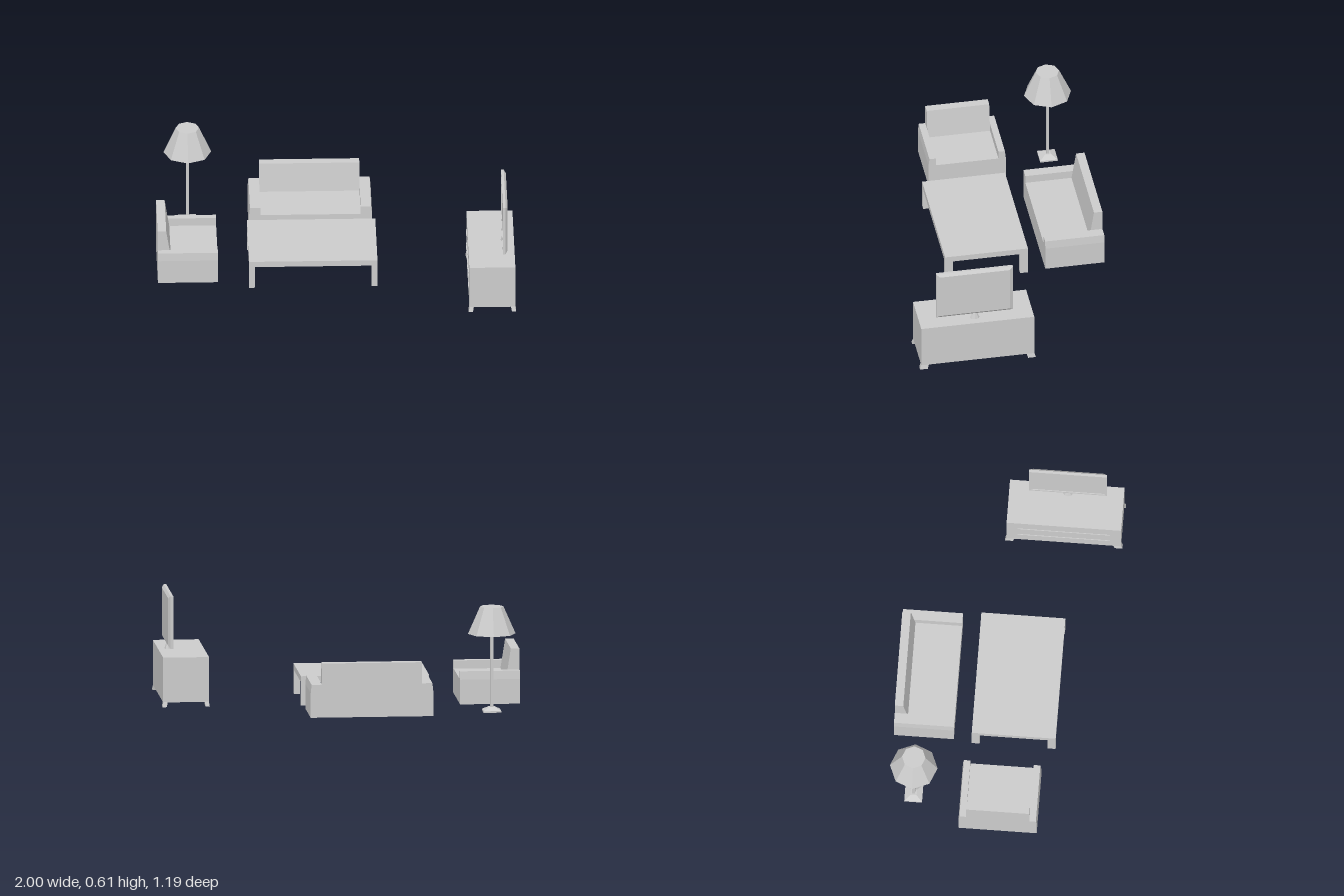
import * as THREE from 'three';

const material = new THREE.MeshStandardMaterial({ color: 0xcccccc, flatShading: true });

// Box between two corners; an optional rule moves each vertex
function block(parent, name, [x0, y0, z0], [x1, y1, z1], rule) {
  const geo = new THREE.BoxGeometry(x1 - x0, y1 - y0, z1 - z0);
  geo.translate((x0 + x1) / 2, (y0 + y1) / 2, (z0 + z1) / 2);
  if (rule) {
    const p = geo.attributes.position;
    const v = new THREE.Vector3();
    for (let i = 0; i < p.count; i++) {
      v.fromBufferAttribute(p, i);
      rule(v);
      p.setXYZ(i, v.x, v.y, v.z);
    }
    geo.computeVertexNormals();
  }
  const mesh = new THREE.Mesh(geo, material);
  mesh.name = name;
  parent.add(mesh);
  return mesh;
}

function group(parent, name) {
  const g = new THREE.Group();
  g.name = name;
  parent.add(g);
  return g;
}

// Seat facing +z, centred on its own x and z
function createSeat(parent, name, width, depth, armWidth) {
  const g = group(parent, name);
  const w = width / 2, d = depth / 2, inner = w - armWidth;
  const bottom = 0.013, seatTop = 0.153, armTop = 0.2;
  block(g, 'seatBase', [-w, bottom, -d], [w, seatTop, d]);
  for (const s of [-1, 1]) {
    // Armrest, its outer side leaning slightly inward
    block(g, 'armrest', [s > 0 ? inner : -w, seatTop, -d], [s > 0 ? w : -inner, armTop, d], v => {
      if (v.y > 0.18 && Math.abs(v.x) > w - 0.001) v.x -= s * 0.005;
    });
  }
  // Backrest with a sloping front
  block(g, 'backrest', [-inner, seatTop, -d], [inner, 0.32, -d + 0.074], v => {
    if (v.y > 0.3 && v.z > -d + 0.01) v.z -= 0.026;
  });
  return g;
}

function createTable(parent) {
  const g = group(parent, 'coffeeTable');
  const x0 = -0.49, x1 = 0.23, z0 = -0.16, z1 = 0.312;
  block(g, 'tableTop', [x0, 0.146, z0], [x1, 0.18, z1]);
  for (const x of [x0, x1 - 0.033])
    for (const z of [z0, z1 - 0.045])
      block(g, 'tableLeg', [x, 0.013, z], [x + 0.033, 0.146, z + 0.045]);
}

function createLamp(parent) {
  const g = group(parent, 'floorLamp');
  g.position.set(-0.816, 0, -0.461);
  block(g, 'lampFoot', [-0.05, 0.013, -0.05], [0.05, 0.022, 0.05]);
  block(g, 'lampFootSlope', [-0.05, 0.022, -0.05], [0.05, 0.04, 0.05], v => {
    if (v.y > 0.03) { v.x *= 0.35; v.z *= 0.35; }
  });
  block(g, 'lampPole', [-0.008, 0.035, -0.008], [0.008, 0.46, 0.008]);
  const shade = new THREE.Mesh(new THREE.CylinderGeometry(0.066, 0.134, 0.154, 8), material);
  shade.name = 'lampShade';
  shade.position.y = 0.532;
  g.add(shade);
}

function createCabinet(parent) {
  const g = group(parent, 'mediaCabinet');
  const cx = 0.867, cz = 0.265;
  block(g, 'cabinetBody', [0.738, 0.026, -0.057], [0.996, 0.28, 0.587]);
  // Feet splay outward toward the floor
  for (const sx of [-1, 1])
    for (const sz of [-1, 1]) {
      const x = cx + sx * 0.116, z = cz + sz * 0.3;
      block(g, 'cabinetFoot', [x - 0.012, 0, z - 0.022], [x + 0.012, 0.028, z + 0.022], v => {
        if (v.y < 0.01) { v.x += sx * 0.005; v.z += sz * 0.008; }
      });
    }
  // Drawer handles
  for (const y of [0.105, 0.195])
    block(g, 'drawerHandle', [0.734, y - 0.005, cz - 0.26], [0.739, y + 0.005, cz + 0.26]);
}

function createTelevision(parent) {
  const g = group(parent, 'television');
  const z0 = 0.055, z1 = 0.492, y0 = 0.311, y1 = 0.61, cz = 0.273;
  const front = 0.929, plate = 0.934, rim = 0.944, back = 0.956;
  block(g, 'screen', [plate, y0, z0], [rim, y1, z1]);
  // Back housing, bevelled toward the rear
  block(g, 'backHousing', [rim, y0, z0], [back, y1, z1], v => {
    if (v.x < 0.95) return;
    v.z += v.z < cz ? 0.02 : -0.02;
    v.y += v.y < 0.4 ? 0.015 : -0.015;
  });
  // Raised frame around the screen
  const f = 0.014;
  for (const y of [y0, y1 - f]) block(g, 'screenFrame', [front, y, z0], [plate, y + f, z1]);
  for (const z of [z0, z1 - f]) block(g, 'screenFrame', [front, y0 + f, z], [plate, y1 - f, z + f]);
  // Tapered stand
  const stand = new THREE.Mesh(new THREE.CylinderGeometry(0.013, 0.028, 0.034, 8), material);
  stand.name = 'stand';
  stand.scale.x = 0.7;
  stand.position.set(0.94, 0.297, cz);
  g.add(stand);
}

export function createModel() {
  const model = new THREE.Group();
  model.name = 'livingRoomSet';

  const sofa = createSeat(model, 'sofa', 0.69, 0.337, 0.064);
  sofa.position.set(-0.13, 0, -0.43);

  const armchair = createSeat(model, 'armchair', 0.44, 0.337, 0.042);
  armchair.rotation.y = Math.PI / 2;
  armchair.position.set(-0.831, 0, 0.024);

  createTable(model);
  createLamp(model);
  createCabinet(model);
  createTelevision(model);
  return model;
}
